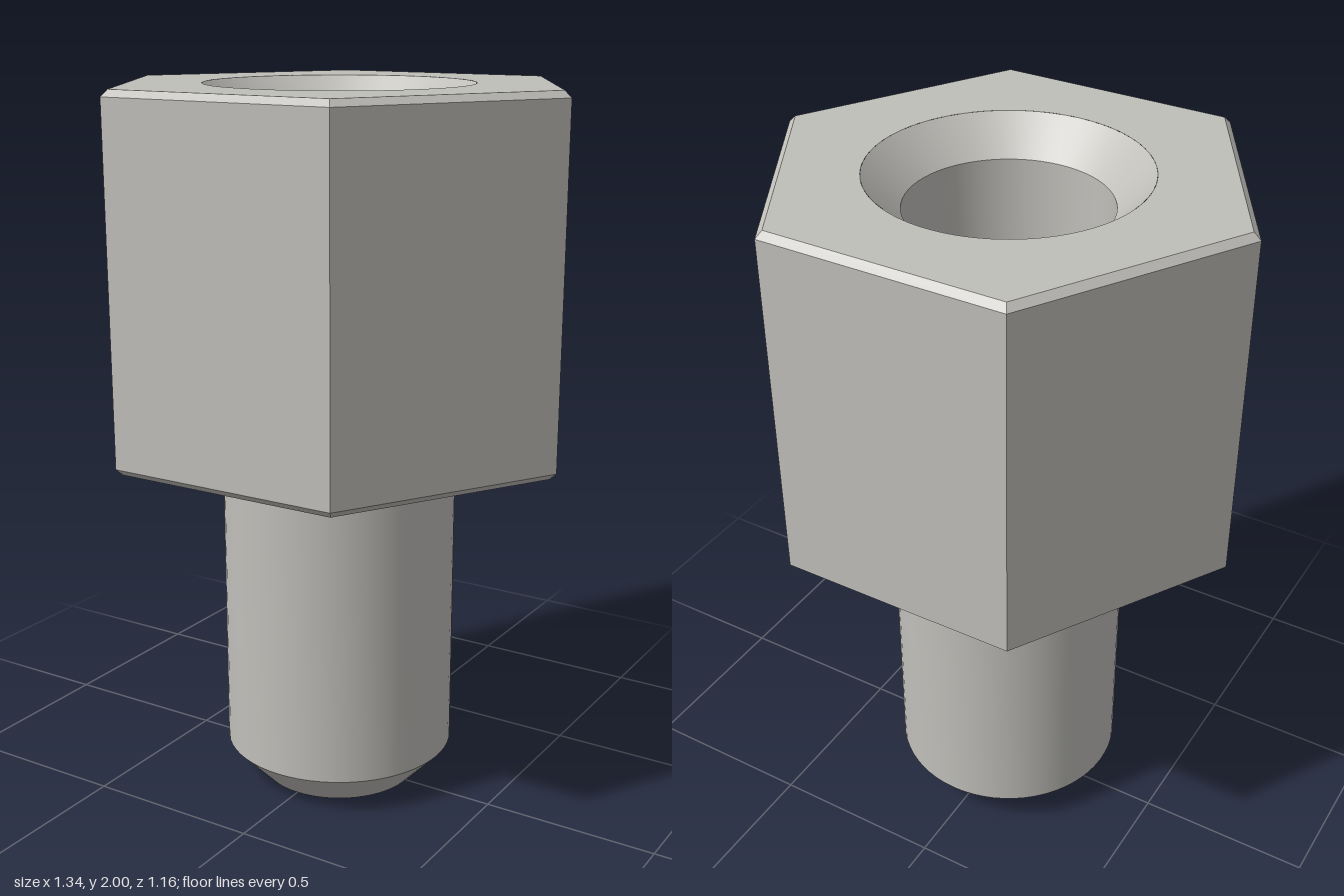
import * as THREE from 'three';
import { toCreasedNormals } from 'three/addons/utils/BufferGeometryUtils.js';

const HEX = 0.67, CHAMFER = 0.02, BASE = 1.0, TOP = 2.0;
const SHANK = 0.33, SINK = 0.365, BORE = 0.27, FLOOR = 1.2;
const SEGMENTS = 64;

// Turned profile with crisp edges; upward profiles face out, downward ones face in
function turned(profile, segments = SEGMENTS, start = 0) {
  const points = profile.map(([r, y]) => new THREE.Vector2(r, y));
  return toCreasedNormals(new THREE.LatheGeometry(points, segments, start), Math.PI / 6);
}

// Flat hexagon with a round opening
function hexFace(radius, hole, y, up) {
  const corners = Array.from({ length: 6 }, (_, i) => {
    const a = (i * Math.PI) / 3;
    return new THREE.Vector2(radius * Math.cos(a), radius * Math.sin(a));
  });
  const shape = new THREE.Shape(corners);
  shape.holes.push(new THREE.Path().absarc(0, 0, hole, 0, Math.PI * 2, true));
  const geometry = new THREE.ShapeGeometry(shape, SEGMENTS);
  geometry.rotateX(up ? -Math.PI / 2 : Math.PI / 2);
  return geometry.translate(0, y, 0);
}

export function createModel() {
  const group = new THREE.Group();
  group.name = 'hexStandoff';
  const metal = new THREE.MeshStandardMaterial({ color: 0xc0bfba });
  metal.name = 'nickel grey';

  const add = (name, geometry) => {
    const mesh = new THREE.Mesh(geometry, metal);
    mesh.name = name;
    group.add(mesh);
  };

  // Hexagonal body with chamfered top and bottom rims
  const inner = HEX - CHAMFER, c = 0.018;
  add('hexBody', turned([[inner, BASE], [HEX, BASE + c], [HEX, TOP - c], [inner, TOP]], 6, Math.PI / 6));
  add('topFace', hexFace(inner, SINK, TOP, true));
  add('bottomFace', hexFace(inner, SHANK, BASE, false));

  // Countersunk blind hole
  add('countersunkHole', turned([[SINK, TOP], [BORE, TOP - (SINK - BORE)], [BORE, FLOOR], [0, FLOOR]]));

  // Round stud with a tapered tip
  add('stud', turned([[0, 0], [0.23, 0], [SHANK, 0.105], [SHANK, BASE]]));

  return group;
}
